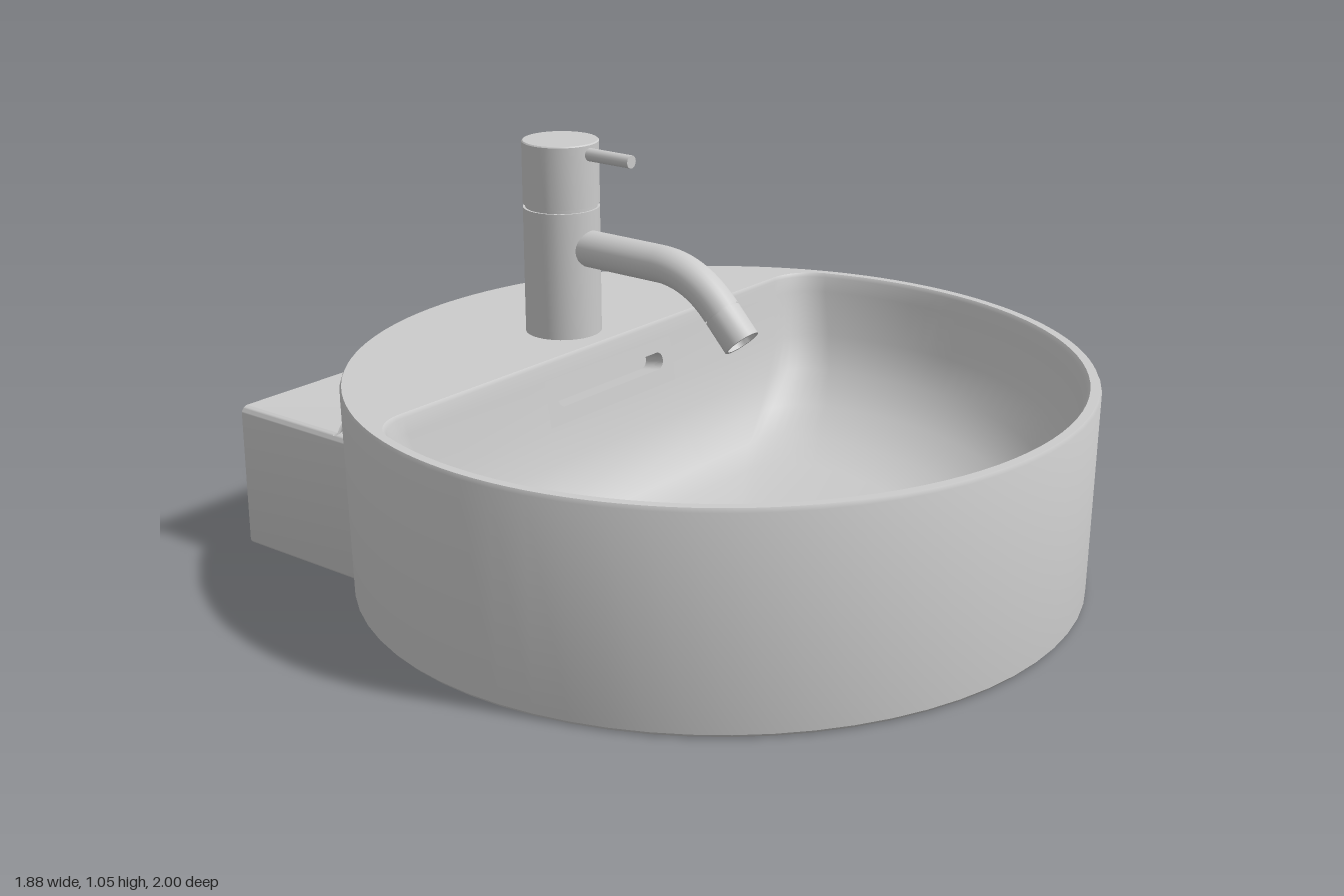
import * as THREE from 'three';
import { toCreasedNormals } from 'three/addons/utils/BufferGeometryUtils.js';

const CZ = 0.06; // z of the basin axis
const BODY_Z = -0.46; // z of the tap body axis
const mat = new THREE.MeshStandardMaterial({ color: 0xcccccc });
const insideMat = new THREE.MeshStandardMaterial({ color: 0xcccccc, side: THREE.BackSide });
const doubleMat = new THREE.MeshStandardMaterial({ color: 0xcccccc, side: THREE.DoubleSide });

function part(name, geometry, parent, material = mat) {
  const mesh = new THREE.Mesh(geometry, material);
  mesh.name = name;
  parent.add(mesh);
  return mesh;
}

function lathe(points, segments = 32, start = 0, sweep = Math.PI * 2) {
  const pts = points.map(([r, y]) => new THREE.Vector2(r, y));
  return toCreasedNormals(new THREE.LatheGeometry(pts, segments, start, sweep), 0.6);
}

// Rounded rectangle centred on (cx, cy)
function roundedRect(w, h, r, cx = 0, cy = 0, Type = THREE.Shape) {
  const s = new Type(), x = w / 2 - r, y = h / 2 - r;
  s.absarc(cx + x, cy + y, r, 0, Math.PI / 2);
  s.absarc(cx - x, cy + y, r, Math.PI / 2, Math.PI);
  s.absarc(cx - x, cy - y, r, Math.PI, Math.PI * 1.5);
  s.absarc(cx + x, cy - y, r, Math.PI * 1.5, Math.PI * 2);
  s.closePath();
  return s;
}

// Circle cut by a straight back edge, with rounded corners: [x, z] points
const ARC = 64, CORNER = 8, PANEL = 0.25;
function bowlOutline(R, back, f) {
  const dz = back + f - CZ;
  const fx = Math.sqrt((R - f) ** 2 - dz * dz);
  const a = Math.atan2(dz, fx);
  const pts = [];
  for (let i = 0; i <= ARC; i++) {
    const t = a + (Math.PI - 2 * a) * i / ARC;
    pts.push([R * Math.cos(t), CZ + R * Math.sin(t)]);
  }
  for (let i = 1; i <= CORNER; i++) {
    const t = Math.PI - a + (Math.PI / 2 + a) * i / CORNER;
    pts.push([-fx + f * Math.cos(t), back + f + f * Math.sin(t)]);
  }
  pts.push([-PANEL, back], [PANEL, back]);
  for (let i = 0; i < CORNER; i++) {
    const t = -Math.PI / 2 + (a + Math.PI / 2) * i / CORNER;
    pts.push([fx + f * Math.cos(t), back + f + f * Math.sin(t)]);
  }
  return pts;
}

// Bowl levels: radius, height, z of the back wall, corner radius
const LEVELS = [
  [0.912, 0.54, -0.316, 0.13], [0.904, 0.53, -0.31, 0.13], [0.895, 0.49, -0.305, 0.13],
  [0.865, 0.37, -0.285, 0.14], [0.82, 0.28, -0.265, 0.15], [0.74, 0.2, -0.235, 0.16],
  [0.63, 0.145, -0.19, 0.16], [0.5, 0.112, -0.12, 0.16],
];
const PANEL_LEVEL = 2; // the level span that holds the overflow panel

function bowlGeometry() {
  const pos = [], index = [];
  LEVELS.forEach(([R, y, back, f]) => bowlOutline(R, back, f).forEach(([x, z]) => pos.push(x, y, z)));
  const n = pos.length / 3 / LEVELS.length;
  const panelColumn = ARC + CORNER + 1;
  for (let k = 0; k < LEVELS.length - 1; k++) {
    for (let i = 0; i < n; i++) {
      if (k === PANEL_LEVEL && i === panelColumn) continue;
      const a = k * n + i, b = k * n + (i + 1) % n;
      index.push(a, a + n, b, b, a + n, b + n);
    }
  }
  const centre = pos.length / 3, last = (LEVELS.length - 1) * n;
  pos.push(0, 0.095, 0.12);
  for (let i = 0; i < n; i++) index.push(last + i, centre, last + (i + 1) % n);
  const g = new THREE.BufferGeometry();
  g.setAttribute('position', new THREE.Float32BufferAttribute(pos, 3));
  g.setIndex(index);
  g.computeVertexNormals();
  return g;
}

function createBasin() {
  const basin = new THREE.Group();
  basin.name = 'basin';

  part('outerWall', lathe([[0, 0], [0.922, 0], [0.929, 0.008], [0.94, 0.53], [0.935, 0.54]], 64), basin).position.z = CZ;
  part('bowl', bowlGeometry(), basin);

  // Flat rim and tap deck around the bowl opening
  const deck = new THREE.Shape();
  deck.absarc(0, -CZ, 0.935, 0, Math.PI * 2);
  const [R, top, back, f] = LEVELS[0];
  deck.holes.push(new THREE.Path(bowlOutline(R, back, f).map(([x, z]) => new THREE.Vector2(x, -z))));
  part('rimAndDeck', new THREE.ShapeGeometry(deck, 64).rotateX(-Math.PI / 2), basin).position.y = top;

  // Overflow slot in the sloping back wall
  const [, y0, z0] = LEVELS[PANEL_LEVEL].slice(0, 3), [, y1, z1] = LEVELS[PANEL_LEVEL + 1];
  const overflow = new THREE.Group();
  overflow.name = 'overflow';
  overflow.position.set(0, (y0 + y1) / 2, (z0 + z1) / 2);
  overflow.rotation.x = -Math.atan2(z1 - z0, y0 - y1);
  basin.add(overflow);
  const w = PANEL, h = Math.hypot(y0 - y1, z1 - z0) / 2;
  const panel = new THREE.Shape([[-w, -h], [w, -h], [w, h], [-w, h]].map(p => new THREE.Vector2(...p)));
  panel.holes.push(roundedRect(0.42, 0.046, 0.0229, 0, 0.005, THREE.Path));
  part('overflowPanel', new THREE.ShapeGeometry(panel), overflow);
  const recess = new THREE.ExtrudeGeometry(roundedRect(0.42, 0.046, 0.0229, 0, 0.005), { depth: 0.06, bevelEnabled: false });
  part('overflowRecess', recess, overflow, insideMat).position.z = -0.06;

  // Wall mounting block with softened long edges
  const block = new THREE.ExtrudeGeometry(roundedRect(1.3, 0.385, 0.02, 0, 0.1925), { depth: 0.5, bevelEnabled: false, curveSegments: 5 });
  part('mountingBlock', toCreasedNormals(block, 0.6), basin).position.z = -1;

  // Cove where the block meets the round wall
  const cove = [];
  for (let i = 0; i <= 6; i++) {
    const t = Math.PI / 2 * i / 6;
    cove.push([0.967 - 0.032 * Math.sin(t), 0.415 - 0.032 * Math.cos(t)]);
  }
  part('blockCove', lathe(cove, 32, Math.PI - 0.74, 1.48), basin, doubleMat).position.z = CZ;
  return basin;
}

function createTap() {
  const tap = new THREE.Group();
  tap.name = 'tap';

  // Body with a fine groove below the turning cap
  part('tapBody', lathe([[0.1, 0.54], [0.1, 0.875], [0.094, 0.875], [0.094, 0.885], [0.1, 0.885],
    [0.1, 1.047], [0.097, 1.05], [0, 1.05]], 40), tap).position.z = BODY_Z;

  // Lever and the plug opposite it
  const lever = part('lever', new THREE.CylinderGeometry(0.017, 0.017, 0.16, 16).rotateX(Math.PI / 2), tap);
  lever.position.set(0, 1.023, -0.302);
  const plug = part('backPlug', new THREE.CylinderGeometry(0.015, 0.015, 0.01, 16).rotateX(Math.PI / 2), tap);
  plug.position.set(0, 1.023, BODY_Z - 0.097);

  // Spout: straight run, then a downward bend
  const v = (z, y) => new THREE.Vector3(0, y, z);
  const path = new THREE.CurvePath();
  path.add(new THREE.LineCurve3(v(-0.4, 0.775), v(-0.13, 0.775)));
  path.add(new THREE.QuadraticBezierCurve3(v(-0.13, 0.775), v(-0.02, 0.775), v(0.065, 0.683)));
  part('spout', new THREE.TubeGeometry(path, 40, 0.048, 24), tap);

  // Hollow spout tip, modelled along +y from its joint
  const tip = part('spoutTip', lathe([[0.03, -0.01], [0.044, -0.01], [0.044, 0.004], [0.048, 0.004],
    [0.048, 0.092], [0.04, 0.092], [0.04, 0.06], [0, 0.06]], 24), tap);
  tip.position.set(0, 0.683, 0.065);
  tip.quaternion.setFromUnitVectors(new THREE.Vector3(0, 1, 0), new THREE.Vector3(0, -0.092, 0.085).normalize());
  return tap;
}

export function createModel() {
  const model = new THREE.Group();
  model.name = 'washbasin';
  model.add(createBasin(), createTap());
  return model;
}
